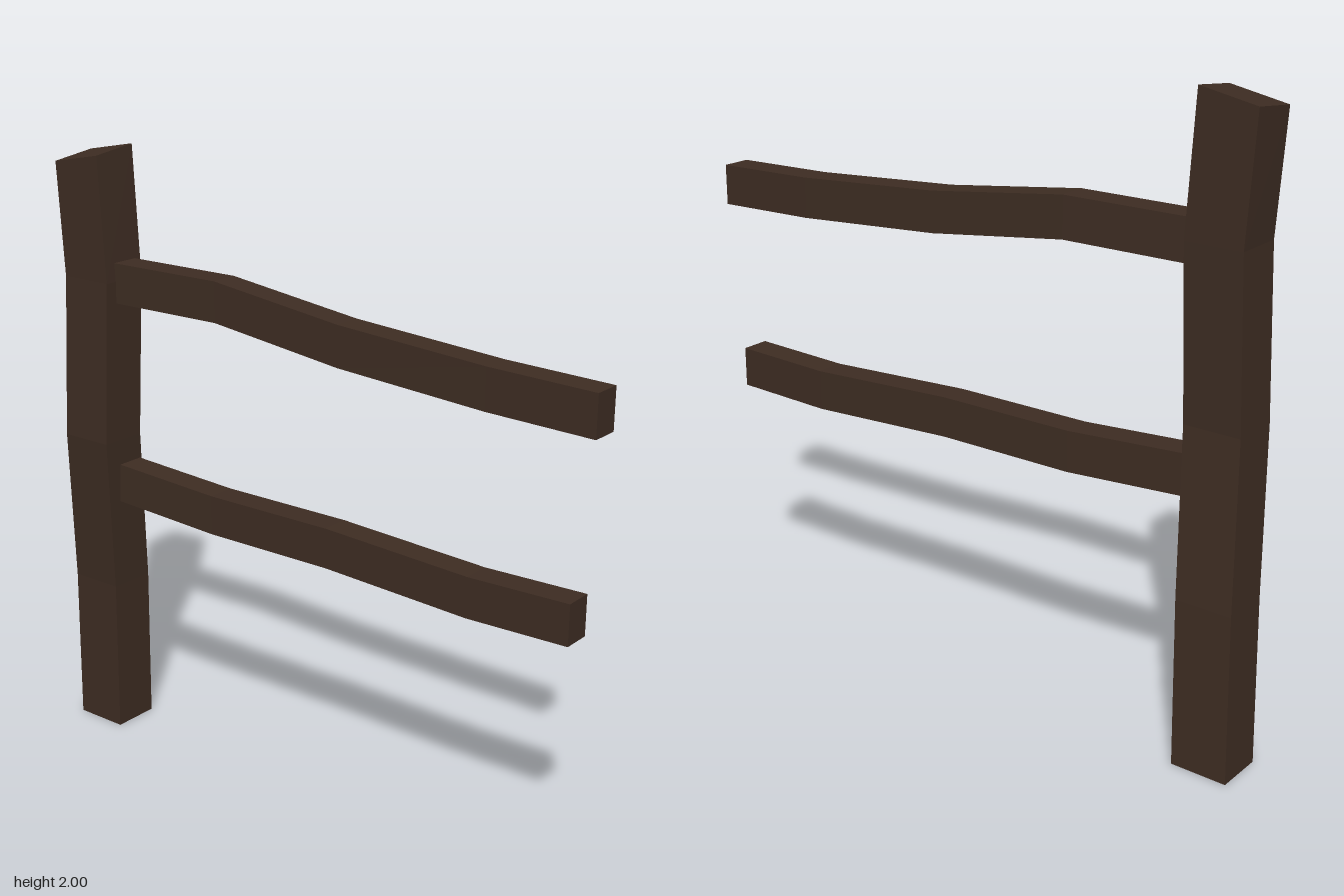
import * as THREE from 'three';

const wood = new THREE.MeshStandardMaterial({ color: 0x3d2c22, flatShading: true });
wood.name = 'dark brown wood';

// Bent square timber: a segmented box whose rings are moved to the given centres.
function timber(name, axis, size, centres) {
  const n = centres.length - 1;
  const segments = axis === 'x' ? [n, 1, 1] : [1, n, 1];
  const geometry = new THREE.BoxGeometry(1, 1, 1, ...segments);
  const p = geometry.attributes.position;
  const v = new THREE.Vector3();
  for (let i = 0; i < p.count; i++) {
    v.fromBufferAttribute(p, i);
    const [x, y, z] = centres[Math.round((v[axis] + 0.5) * n)];
    v[axis] = 0;
    v.multiply(size);
    p.setXYZ(i, x + v.x, y + v.y, z + v.z);
  }
  geometry.computeVertexNormals();
  const mesh = new THREE.Mesh(geometry, wood);
  mesh.name = name;
  return mesh;
}

export function createModel() {
  const group = new THREE.Group();
  group.name = 'brokenFence';

  // Upright post, with its top cut at a slant
  const post = timber('post', 'y', new THREE.Vector3(0.183, 1, 0.158), [
    [-0.891, 0, -0.02], [-0.877, 0.53, -0.012], [-0.856, 1.05, 0.025],
    [-0.848, 1.58, 0.002], [-0.873, 1.973, 0],
  ]);
  const p = post.geometry.attributes.position;
  for (let i = 0; i < p.count; i++) {
    if (p.getY(i) > 1.9) {
      p.setY(i, 1.973 + (p.getX(i) + 0.873) * 0.19 - p.getZ(i) * 0.12);
    }
  }
  post.geometry.computeVertexNormals();
  group.add(post);

  // Two sagging rails
  const railSize = new THREE.Vector3(1, 0.13, 0.093);
  group.add(timber('upperRail', 'x', railSize, [
    [-0.82, 1.575, -0.005], [-0.35, 1.575, -0.018], [0.12, 1.515, -0.024],
    [0.63, 1.48, -0.032], [0.98, 1.47, -0.034],
  ]));
  group.add(timber('lowerRail', 'x', railSize, [
    [-0.82, 0.902, -0.005], [-0.38, 0.874, -0.018], [0.08, 0.873, -0.024],
    [0.59, 0.846, -0.032], [0.93, 0.853, -0.034],
  ]));
  return group;
}
